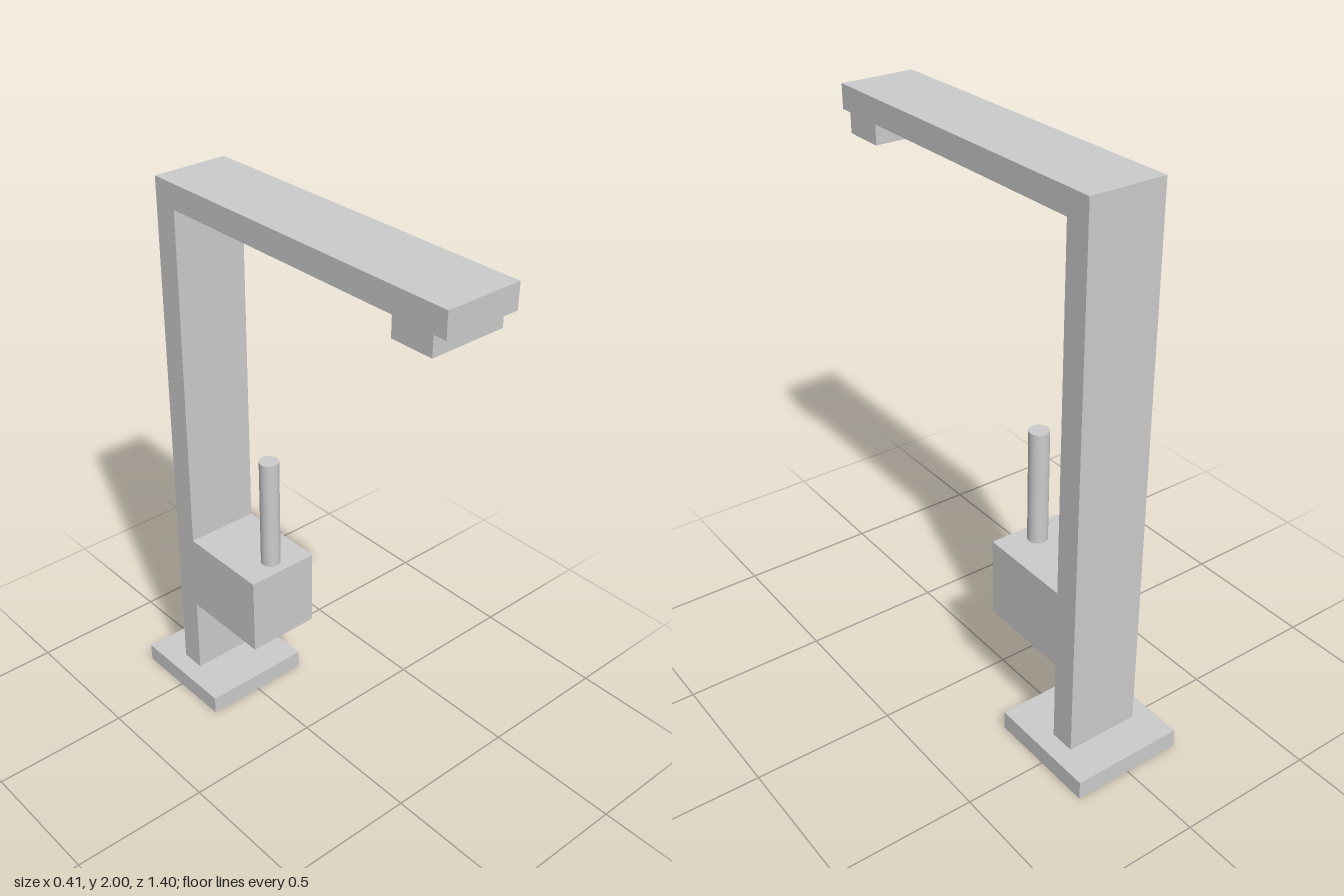
import * as THREE from 'three';

const material = new THREE.MeshStandardMaterial({ color: 0xcccccc, side: THREE.DoubleSide });

// Removes the flat faces lying at height y, leaving a shell open there.
function openAt(geometry, y) {
  const flat = geometry.index ? geometry.toNonIndexed() : geometry;
  const p = flat.attributes.position;
  const kept = [];
  for (let i = 0; i < p.count; i += 3) {
    const level = [0, 1, 2].every(k => Math.abs(p.getY(i + k) - y) < 1e-4);
    if (level) continue;
    for (let k = 0; k < 3; k++) kept.push(p.getX(i + k), p.getY(i + k), p.getZ(i + k));
  }
  const shell = new THREE.BufferGeometry();
  shell.setAttribute('position', new THREE.Float32BufferAttribute(kept, 3));
  shell.computeVertexNormals();
  return shell;
}

export function createModel() {
  const model = new THREE.Group();
  const add = (name, geometry, x = 0, y = 0, z = 0) => {
    const mesh = new THREE.Mesh(geometry, material);
    mesh.name = name;
    mesh.position.set(x, y, z);
    model.add(mesh);
  };

  const width = 0.27, baseSize = 0.41, baseTop = 0.068, baseZ = -0.493;
  const back = -0.563, front = -0.472;

  // Column, spout, outlet and valve box: one side profile (z, y), hollow and open at the foot
  const profile = new THREE.Shape([
    [back, baseTop], [front, baseTop], [front, 0.37], [-0.127, 0.37],
    [-0.127, 0.66], [front, 0.66], [front, 1.915], [0.498, 1.915],
    [0.498, 1.846], [0.652, 1.846], [0.652, 1.915], [0.698, 1.915],
    [0.698, 2], [back, 2],
  ].map(([z, y]) => new THREE.Vector2(z, y)));
  const body = new THREE.ExtrudeGeometry(profile, { depth: width, bevelEnabled: false });
  body.translate(0, 0, -width / 2).rotateY(-Math.PI / 2);
  add('columnAndSpout', openAt(body, baseTop));

  // Base skirt: four thin walls
  const skirt = new THREE.BoxGeometry(baseSize, baseTop, baseSize).translate(0, baseTop / 2, 0);
  add('baseSkirt', openAt(openAt(skirt, 0), baseTop), 0, 0, baseZ);

  // Base top: thin plate with an opening under the hollow column
  const h = baseSize / 2, w = width / 2;
  const rect = (x, y0, y1) => [[-x, y0], [x, y0], [x, y1], [-x, y1]].map(c => new THREE.Vector2(...c));
  const plate = new THREE.Shape(rect(h, -h, h));
  plate.holes.push(new THREE.Path(rect(w, baseZ - front, baseZ - back)));
  add('baseTop', new THREE.ShapeGeometry(plate).rotateX(-Math.PI / 2), 0, baseTop, baseZ);

  // Upright handle on the valve box
  add('handle', new THREE.CylinderGeometry(0.035, 0.035, 0.415, 32), 0, 0.8675, -0.195);

  return model;
}
